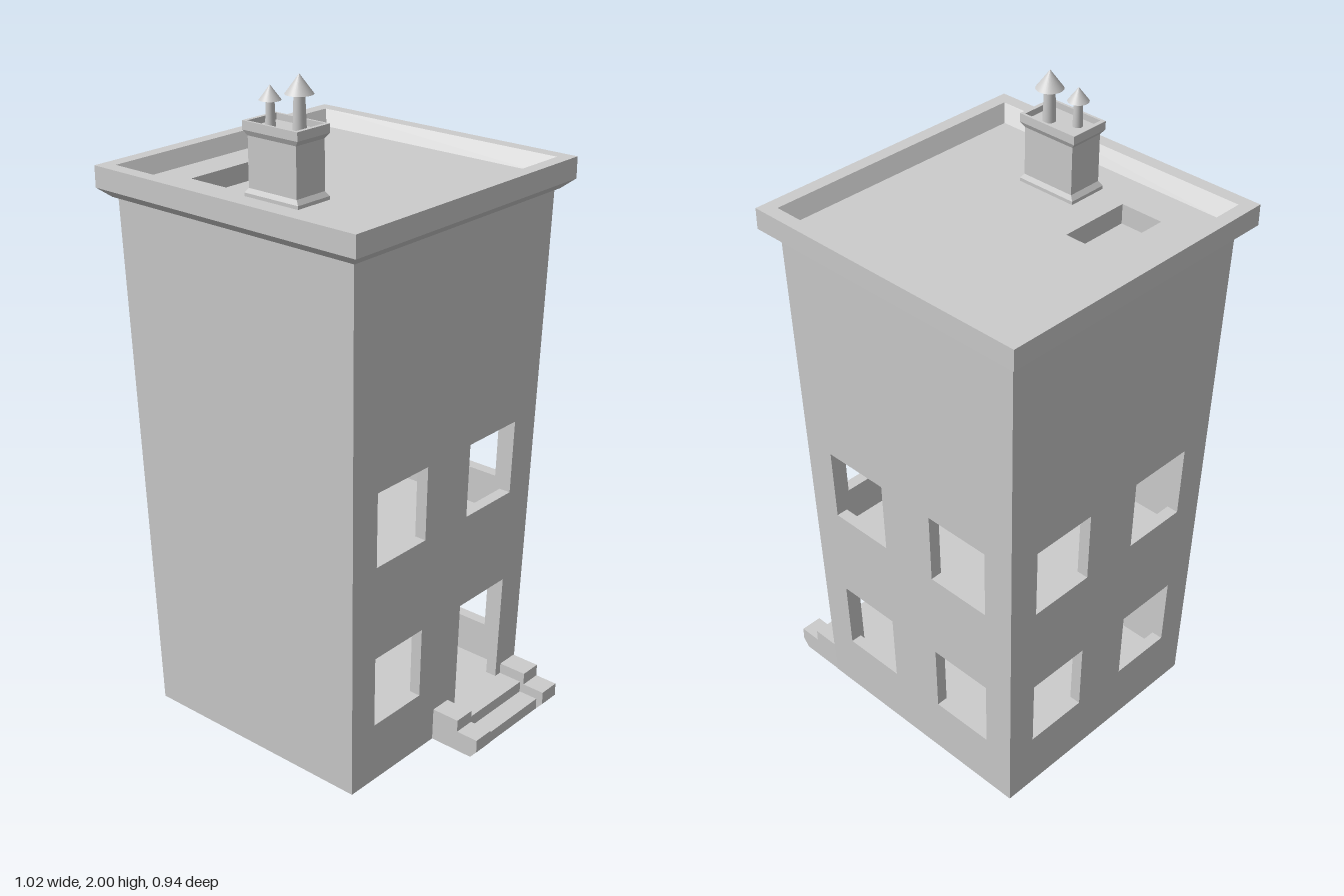
import * as THREE from 'three';

const CX = -0.042;      // house axis in x
const HALF = 0.387;     // half width of the house at the ground
const THICK = 0.035;    // wall thickness
const WALL_TOP = 1.64;

const grey = new THREE.MeshStandardMaterial({ color: 0xcccccc, flatShading: true });
const smooth = new THREE.MeshStandardMaterial({ color: 0xcccccc });

function add(parent, name, geometry, material = grey) {
  const mesh = new THREE.Mesh(geometry, material);
  mesh.name = name;
  parent.add(mesh);
  return mesh;
}

// Make faces flat after any change of shape
function flat(geometry) {
  const g = geometry.index ? geometry.toNonIndexed() : geometry;
  g.computeVertexNormals();
  return g;
}

// The house widens steadily with height
function taper(geometry) {
  const p = geometry.attributes.position;
  for (let i = 0; i < p.count; i++) {
    const s = 1 + 0.066 * p.getY(i);
    p.setX(i, p.getX(i) * s);
    p.setZ(i, p.getZ(i) * s);
  }
  return flat(geometry);
}

function rect(path, x0, y0, x1, y1) {
  path.moveTo(x0, y0);
  path.lineTo(x1, y0);
  path.lineTo(x1, y1);
  path.lineTo(x0, y1);
  path.closePath();
  return path;
}

// Four-sided lathe: profile points are [half width, height]
function squareLathe(points) {
  const profile = points.map(([r, y]) => new THREE.Vector2(r * Math.SQRT2, y));
  return flat(new THREE.LatheGeometry(profile, 4, Math.PI / 4));
}

// Wall panel with openings [u0, y0, u1, y1], turned about the house axis
function wall(halfWidth, openings, angle) {
  const shape = rect(new THREE.Shape(), -halfWidth, 0, halfWidth, WALL_TOP);
  for (const o of openings) shape.holes.push(rect(new THREE.Path(), ...o));
  const g = new THREE.ExtrudeGeometry(shape, { depth: THICK, bevelEnabled: false });
  g.translate(0, 0, HALF - THICK).rotateY(angle);
  return taper(g);
}

export function createModel() {
  const model = new THREE.Group();
  model.name = 'house';
  const house = new THREE.Group();
  house.name = 'building';
  house.position.x = CX;
  model.add(house);

  // Walls: blank front, windows on the other three sides, one door
  const U0 = 0.09, U1 = 0.292;
  const upper = [[-U1, 0.71, -U0, 0.94], [U0, 0.71, U1, 0.94]];
  const lower = [[-U1, 0.19, -U0, 0.415], [U0, 0.19, U1, 0.415]];
  const door = [U0 - 0.005, 0.07, U1, 0.415];
  add(house, 'frontWall', wall(HALF, [], 0));
  add(house, 'backWall', wall(HALF, [...upper, ...lower], Math.PI));
  add(house, 'leftWall', wall(HALF - THICK, [...upper, lower[0], door], Math.PI / 2));
  add(house, 'rightWall', wall(HALF - THICK, [...upper, ...lower], -Math.PI / 2));

  // Floors between the storeys
  const inner = 2 * (HALF - THICK);
  [[0.035, 0.07], [0.53, 0.595], [1.04, 1.09]].forEach(([y0, y1], i) => {
    const g = new THREE.BoxGeometry(inner, y1 - y0, inner).translate(0, (y0 + y1) / 2, 0);
    add(house, 'floor' + (i + 1), taper(g));
  });

  // Cornice with a parapet sloping in to the roof
  add(house, 'cornice', squareLathe([
    [0.38, 1.62], [0.44, 1.62], [0.471, 1.647], [0.471, 1.71], [0.43, 1.71], [0.4, 1.665],
  ]));

  // Flat roof with a sunken hatch
  const roofY = 1.665, pit = 0.06;
  const hx0 = -0.335 - CX, hx1 = -0.2 - CX, hz0 = 0.055, hz1 = 0.28;
  const roofShape = rect(new THREE.Shape(), -0.4, -0.4, 0.4, 0.4);
  roofShape.holes.push(rect(new THREE.Path(), hx0, -hz1, hx1, -hz0));
  const roof = new THREE.ExtrudeGeometry(roofShape, { depth: pit, bevelEnabled: false });
  roof.rotateX(-Math.PI / 2).translate(0, roofY - pit, 0);
  add(house, 'roof', roof);
  const hatch = add(house, 'hatchFloor', new THREE.BoxGeometry(hx1 - hx0 + 0.02, 0.02, hz1 - hz0 + 0.02));
  hatch.position.set((hx0 + hx1) / 2, roofY - pit - 0.01, (hz0 + hz1) / 2);

  // Chimney stack with a skirt and a hollow cap
  const chimney = new THREE.Group();
  chimney.name = 'chimney';
  model.add(chimney);
  const stack = squareLathe([
    [0.097, roofY], [0.097, 1.675], [0.086, 1.688], [0.086, 1.83], [0.098, 1.845],
    [0.098, 1.87], [0.086, 1.87], [0.086, 1.852], [0, 1.852],
  ]);
  stack.scale(1, 1, 0.64).translate(-0.009, 0, 0.243);
  add(chimney, 'stack', flat(stack));

  // Chimney pots with conical hoods: x, z, pot radius, hood radius, hood base, hood tip
  for (const [x, z, r, hood, y0, y1] of [
    [-0.048, 0.26, 0.013, 0.03, 1.925, 1.965],
    [0.028, 0.23, 0.017, 0.039, 1.947, 2.0],
  ]) {
    const h = y0 - 1.85;
    add(chimney, 'pot', new THREE.CylinderGeometry(r * 0.9, r * 1.1, h, 24, 1, true), smooth)
      .position.set(x, 1.85 + h / 2, z);
    add(chimney, 'hood', new THREE.ConeGeometry(hood, y1 - y0, 32), smooth)
      .position.set(x, (y0 + y1) / 2, z);
  }

  // Doorstep: side profiles in x and y, extruded along z
  const porch = new THREE.Group();
  porch.name = 'doorstep';
  model.add(porch);
  const along = (name, points, z0, z1) => {
    const shape = new THREE.Shape(points.map(([x, y]) => new THREE.Vector2(x, y)));
    const g = new THREE.ExtrudeGeometry(shape, { depth: z1 - z0, bevelEnabled: false });
    add(porch, name, g.translate(0, 0, z0));
  };
  const side = [
    [0.33, 0], [0.488, 0], [0.51, 0.025], [0.51, 0.066], [0.438, 0.066], [0.438, 0.104], [0.33, 0.104],
  ];
  along('stepWall', side, -0.386, -0.317);
  along('stepWall', side, -0.049, 0.019);
  along('steps', [
    [0.32, 0], [0.488, 0], [0.488, 0.035], [0.425, 0.035], [0.425, 0.07], [0.32, 0.07],
  ], -0.317, -0.049);

  return model;
}
